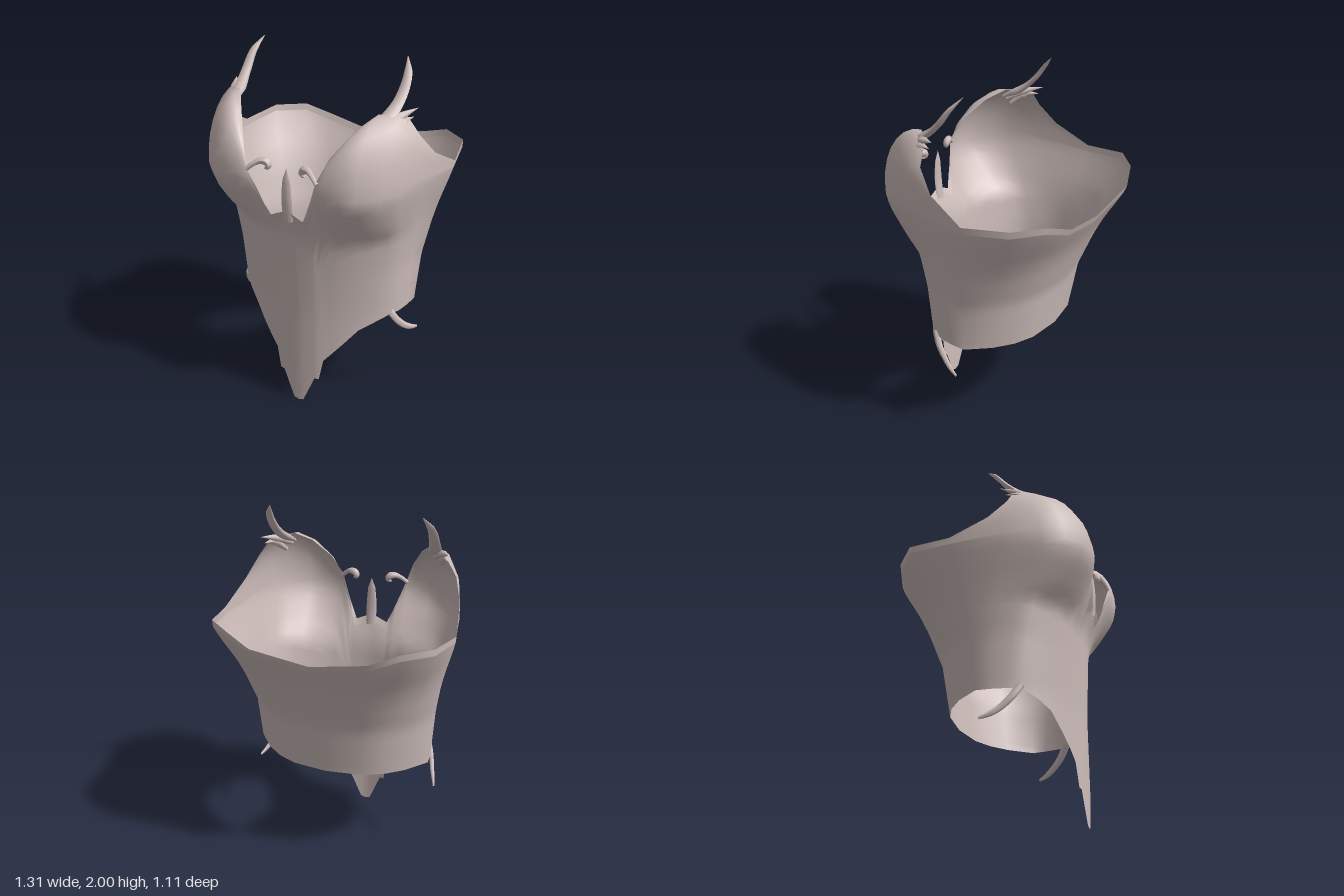
import * as THREE from 'three';

const shellMaterial = new THREE.MeshStandardMaterial({ color: 0xcdbdba, side: THREE.DoubleSide });
shellMaterial.name = 'pale rose grey';

// Half outlines from centre front round the side to centre back, one entry per column.
const WAIST = [ // x, z
  [0, 0.41], [0.03, 0.41], [0.1, 0.4], [0.125, 0.395], [0.15, 0.385], [0.2, 0.37], [0.25, 0.35], [0.33, 0.31],
  [0.4, 0.26], [0.46, 0.2], [0.49, 0.13], [0.505, 0.05], [0.51, -0.03], [0.41, -0.155], [0.31, -0.235],
  [0.2, -0.285], [0, -0.31]];
const BUST = [ // x, z
  [0, 0.52], [0.03, 0.52], [0.1, 0.53], [0.125, 0.53], [0.15, 0.525], [0.2, 0.54], [0.25, 0.553], [0.33, 0.553],
  [0.41, 0.53], [0.5, 0.45], [0.56, 0.34], [0.605, 0.15], [0.655, -0.14], [0.605, -0.385], [0.46, -0.505],
  [0.32, -0.575], [0, -0.585]];
const TOP = [ // x, y, z
  [0, 1.26, 0.49], [0.03, 1.25, 0.49], [0.095, 1.22, 0.49], [0.125, 1.285, 0.505], [0.155, 1.36, 0.515],
  [0.2, 1.48, 0.54], [0.25, 1.6, 0.48], [0.33, 1.72, 0.37], [0.4, 1.78, 0.27], [0.5, 1.77, 0.17],
  [0.575, 1.66, 0.15], [0.62, 1.55, 0.06], [0.655, 1.44, -0.14], [0.605, 1.46, -0.39], [0.46, 1.455, -0.51],
  [0.315, 1.4, -0.56], [0, 1.34, -0.54]];
const BOTTOM = [0, 0.01, 0.18, 0.18, 0.31, 0.37, 0.43, 0.53, 0.575, 0.61];

// How far the wall has flared from waist to bust at each height
const HEIGHTS = [0.61, 0.9, 1.1, 1.2, 1.35, 1.42];
const FRONT_FLARE = [0, 0.1, 0.2, 0.55, 0.95, 1];
const SIDE_FLARE = [0, 0.16, 0.42, 0.58, 0.88, 1];

function sample(values, y) {
  if (y <= HEIGHTS[0]) return values[0];
  for (let i = 1; i < HEIGHTS.length; i++) {
    if (y <= HEIGHTS[i]) {
      const t = (y - HEIGHTS[i - 1]) / (HEIGHTS[i] - HEIGHTS[i - 1]);
      return THREE.MathUtils.lerp(values[i - 1], values[i], t);
    }
  }
  return 1;
}

const LOWER_ROWS = 18, UPPER_ROWS = 7, ROWS = LOWER_ROWS + UPPER_ROWS;

// One upright column of points: waist to bust, then bust to top edge
function column(c) {
  const [tx, ty, tz] = TOP[c];
  const bottom = BOTTOM[c] ?? 0.61;
  const bustY = Math.min(1.42, ty - 0.04);
  const side = THREE.MathUtils.clamp((c - 8) / 3, 0, 1);
  const wall = (y) => {
    const f = THREE.MathUtils.lerp(sample(FRONT_FLARE, y), sample(SIDE_FLARE, y), side);
    return [THREE.MathUtils.lerp(WAIST[c][0], BUST[c][0], f), y, THREE.MathUtils.lerp(WAIST[c][1], BUST[c][1], f)];
  };
  const points = [];
  for (let r = 0; r <= LOWER_ROWS; r++) points.push(wall(THREE.MathUtils.lerp(bottom, bustY, r / LOWER_ROWS)));
  const [bx, , bz] = points[LOWER_ROWS];
  const domed = c >= 6 && c <= 11;
  for (let r = 1; r <= UPPER_ROWS; r++) {
    const s = r / UPPER_ROWS;
    const rise = domed ? Math.sin(s * Math.PI / 2) : s;
    const inward = domed ? 1 - Math.cos(s * Math.PI / 2) : s;
    points.push([bx + (tx - bx) * inward, bustY + (ty - bustY) * rise, bz + (tz - bz) * inward]);
  }
  return points;
}

// Closed loop of columns: left half, then the mirrored right half
function bodiceGeometry() {
  const half = TOP.map((_, c) => column(c));
  const mirrored = half.slice(1, -1).reverse().map((col) => col.map(([x, y, z]) => [-x, y, z]));
  const columns = [...half, ...mirrored];
  const index = [], n = ROWS + 1;
  for (let c = 0; c < columns.length; c++) {
    const d = (c + 1) % columns.length;
    for (let r = 0; r < ROWS; r++) {
      const a = c * n + r, b = d * n + r;
      index.push(a, b, b + 1, a, b + 1, a + 1);
    }
  }
  const geometry = new THREE.BufferGeometry();
  geometry.setAttribute('position', new THREE.Float32BufferAttribute(columns.flat(2), 3));
  geometry.setIndex(index);
  geometry.computeVertexNormals();
  return geometry;
}

// Tube along a curve whose radius follows radii, flattened per axis by squash
function taperedTube(points, radii, squash = [1, 1, 1]) {
  const curve = new THREE.CatmullRomCurve3(points.map((p) => new THREE.Vector3(...p)));
  const segments = 20, sides = 8;
  const geometry = new THREE.TubeGeometry(curve, segments, 1, sides);
  const position = geometry.attributes.position;
  const scale = new THREE.Vector3(...squash), v = new THREE.Vector3();
  for (let i = 0; i <= segments; i++) {
    const t = i / segments, centre = curve.getPointAt(t);
    const f = t * (radii.length - 1), k = Math.min(Math.floor(f), radii.length - 2);
    const radius = THREE.MathUtils.lerp(radii[k], radii[k + 1], f - k);
    for (let j = 0; j <= sides; j++) {
      const id = i * (sides + 1) + j;
      v.fromBufferAttribute(position, id).sub(centre).multiply(scale).multiplyScalar(radius).add(centre);
      position.setXYZ(id, v.x, v.y, v.z);
    }
  }
  geometry.computeVertexNormals();
  return geometry;
}

export function createModel() {
  const model = new THREE.Group();
  model.name = 'bodice';
  const add = (parent, name, geometry) => {
    const mesh = new THREE.Mesh(geometry, shellMaterial);
    mesh.name = name;
    parent.add(mesh);
  };

  add(model, 'bodiceShell', bodiceGeometry());

  // Upright tongue between the cups
  add(model, 'centreSpike', taperedTube(
    [[0, 1.2, 0.475], [0, 1.3, 0.485], [0, 1.4, 0.485], [0, 1.49, 0.48]],
    [0.03, 0.031, 0.031, 0.028, 0.022, 0.001], [1, 1, 0.4]));

  // Ornaments repeated on both sides
  const shoulderHorn = taperedTube(
    [[0.42, 1.73, 0.3], [0.445, 1.79, 0.19], [0.455, 1.85, 0.12], [0.452, 1.93, 0.055], [0.42, 2.0, -0.01]],
    [0.02, 0.04, 0.032, 0.028, 0.022, 0.002], [1, 0.5, 0.5]);
  const upperThorn = taperedTube(
    [[0.43, 1.72, 0.29], [0.49, 1.765, 0.19], [0.535, 1.785, 0.105]], [0.02, 0.026, 0.001], [1, 0.8, 0.8]);
  const lowerThorn = taperedTube(
    [[0.46, 1.68, 0.28], [0.5, 1.74, 0.2], [0.525, 1.745, 0.13]], [0.015, 0.026, 0.001], [1, 0.8, 0.8]);
  const cupCurl = taperedTube(
    [[0.205, 1.47, 0.535], [0.17, 1.5, 0.52], [0.135, 1.517, 0.5], [0.105, 1.51, 0.492], [0.1, 1.485, 0.495], [0.12, 1.478, 0.5]],
    [0.012, 0.012, 0.013, 0.017, 0.021, 0.018, 0.002]);
  const hipTail = taperedTube(
    [[0.46, 0.63, 0.19], [0.488, 0.56, 0.15], [0.51, 0.5, 0.095], [0.53, 0.465, 0.045], [0.545, 0.447, 0]],
    [0.024, 0.022, 0.02, 0.017, 0.008], [0.6, 1, 1]);

  for (const side of [1, -1]) {
    const ornaments = new THREE.Group();
    ornaments.name = side > 0 ? 'leftOrnaments' : 'rightOrnaments';
    ornaments.scale.x = side;
    add(ornaments, 'shoulderHorn', shoulderHorn);
    add(ornaments, 'upperThorn', upperThorn);
    add(ornaments, 'lowerThorn', lowerThorn);
    add(ornaments, 'cupCurl', cupCurl);
    add(ornaments, 'hipTail', hipTail);
    model.add(ornaments);
  }
  return model;
}
